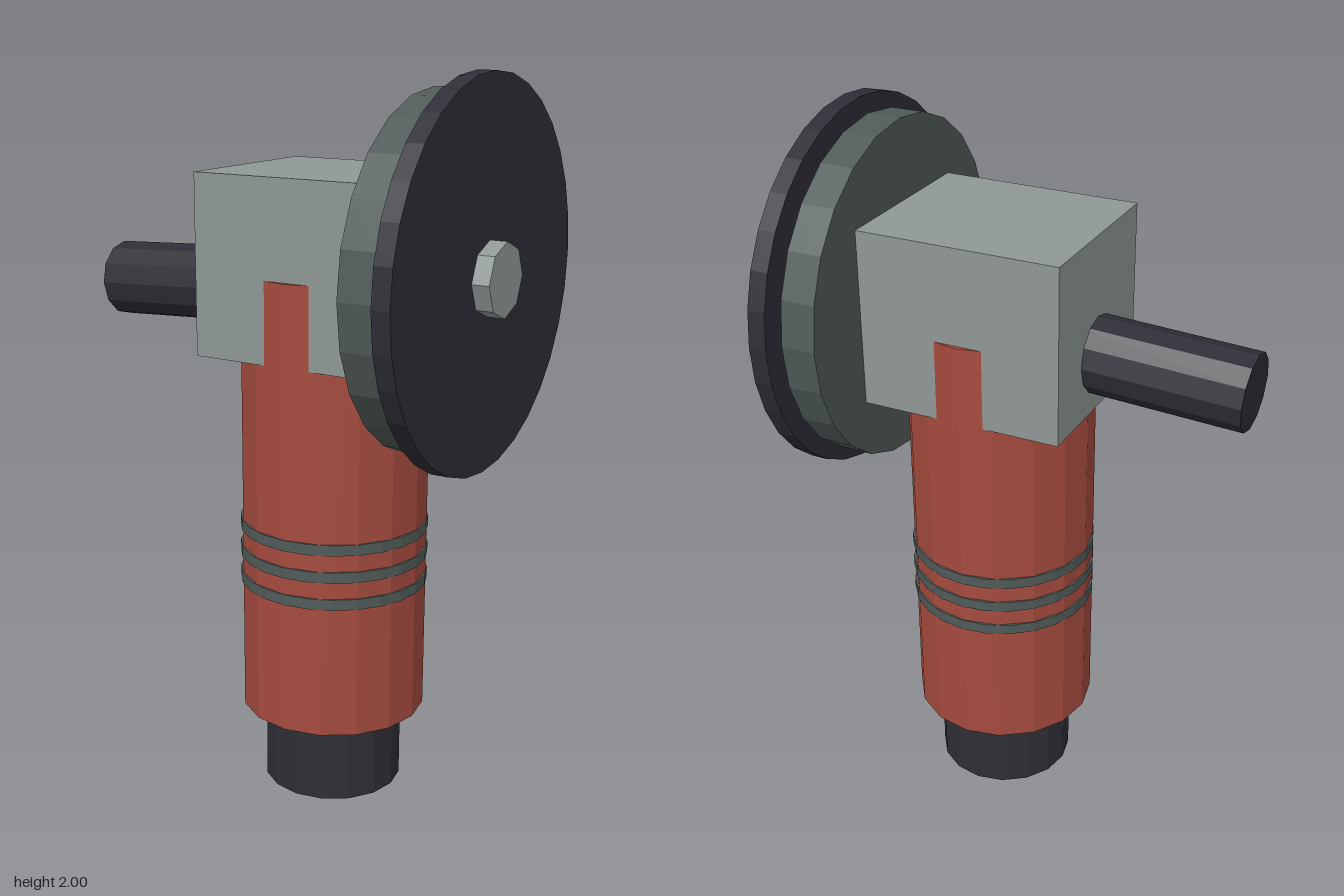
import * as THREE from 'three';

const material = (name, color) => {
  const m = new THREE.MeshStandardMaterial({ color, flatShading: true });
  m.name = name;
  return m;
};

export function createModel() {
  const red = material('red casing', 0xa54b3e);
  const grey = material('light grey metal', 0x8f9895);
  const steel = material('dark grey metal', 0x505b58);
  const black = material('black rubber', 0x2e2e36);

  const group = new THREE.Group();
  group.name = 'angleGrinder';

  const add = (name, geometry, mat, x, y) => {
    const mesh = new THREE.Mesh(geometry, mat);
    mesh.name = name;
    mesh.position.set(x, y, 0);
    group.add(mesh);
    return mesh;
  };

  // Upright cylinder from y0 to y1 on the body axis
  const bodyX = 0.109;
  const upright = (name, mat, r, y0, y1, sides) =>
    add(name, new THREE.CylinderGeometry(r, r, y1 - y0, sides), mat, bodyX, (y0 + y1) / 2);

  // Cylinder lying along x from x0 to x1 on the spindle axis
  const spindleY = 1.49;
  const sideways = (name, mat, r, x0, x1, sides) => {
    const geometry = new THREE.CylinderGeometry(r, r, x1 - x0, sides).rotateZ(-Math.PI / 2);
    return add(name, geometry, mat, (x0 + x1) / 2, spindleY);
  };

  // Motor body with end cap; the casing top runs up into the gear head
  upright('endCap', black, 0.195, 0, 0.24, 16);
  upright('motorBody', red, 0.259, 0.23, 1.472, 16);

  // Grip rings
  for (const y of [0.615, 0.692, 0.769]) {
    upright('gripRing', steel, 0.262, y - 0.015, y + 0.015, 24);
  }

  // Gear head
  add('gearHead', new THREE.BoxGeometry(0.567, 0.488, 0.491), grey, 0.109, 1.493);

  // Guard, grinding disc and its nut
  sideways('guard', steel, 0.468, 0.392, 0.488, 24);
  sideways('grindingDisc', black, 0.51, 0.507, 0.557, 32);
  sideways('discNut', grey, 0.098, 0.55, 0.605, 8);

  // Side handle, tilted slightly down towards its free end
  const handle = add('sideHandle',
    new THREE.CylinderGeometry(0.106, 0.106, 0.5, 12).rotateZ(Math.PI / 2),
    black, -0.356, 1.397);
  handle.rotation.z = 0.05;

  return group;
}
